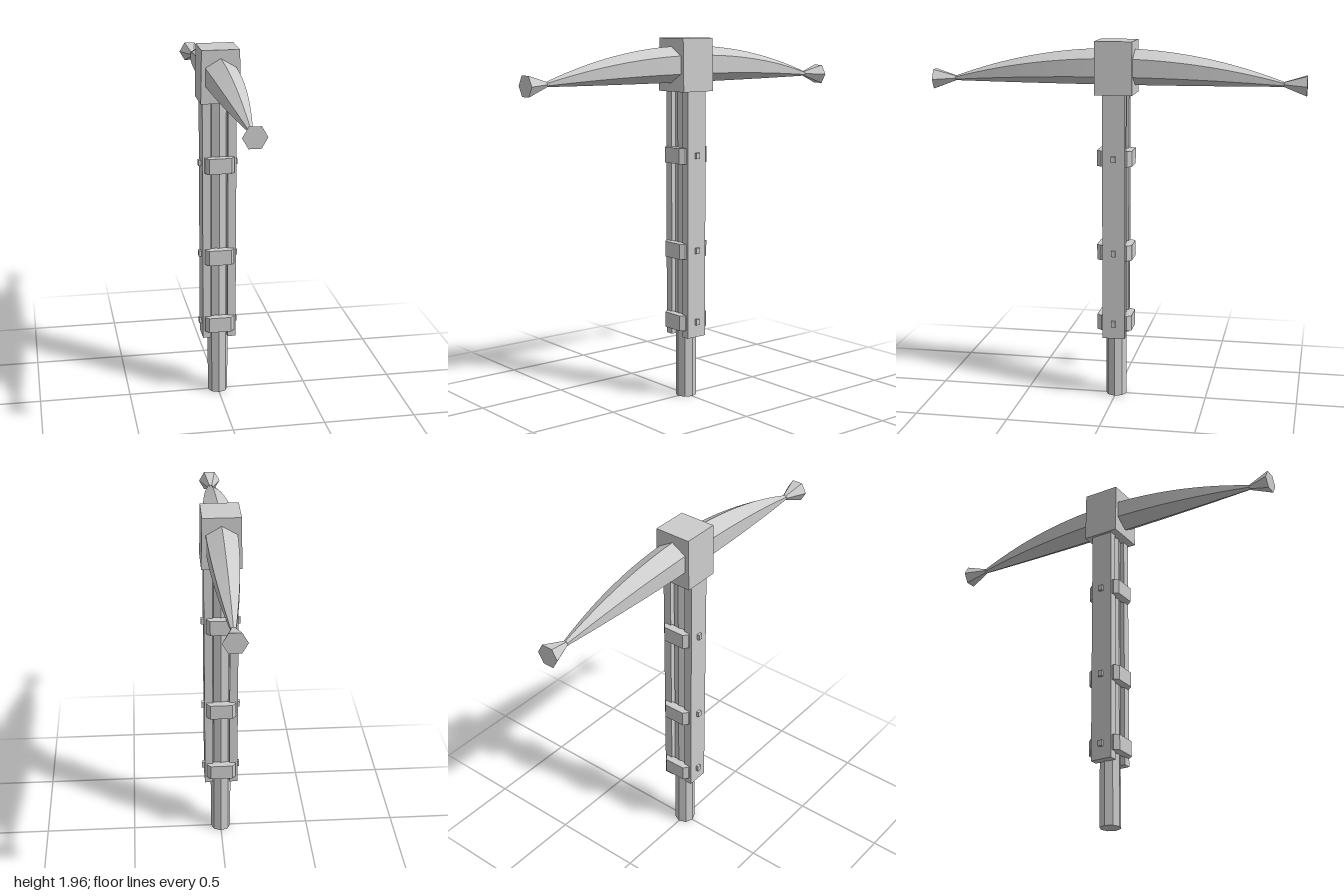
import * as THREE from 'three';

const grey = new THREE.MeshStandardMaterial({ color: 0xcccccc, flatShading: true });
grey.name = 'plain grey';

// Six-sided ring at depth z; start turns the first corner.
function ring(z, y, rx, ry, start) {
  return Array.from({ length: 6 }, (_, k) => {
    const a = start + (k * Math.PI) / 3;
    return [rx * Math.cos(a), y + ry * Math.sin(a), z];
  });
}

// Skin a list of rings running towards +z and close both ends.
function loft(rings) {
  const pos = [];
  const tri = (...p) => p.forEach((v) => pos.push(...v));
  for (let i = 0; i < rings.length - 1; i++) {
    for (let j = 0; j < 6; j++) {
      const k = (j + 1) % 6;
      const a = rings[i][j], b = rings[i][k], c = rings[i + 1][k], d = rings[i + 1][j];
      tri(a, b, c);
      tri(a, c, d);
    }
  }
  const first = rings[0], last = rings[rings.length - 1];
  for (let j = 1; j < 5; j++) {
    tri(first[0], first[j + 1], first[j]);
    tri(last[0], last[j], last[j + 1]);
  }
  const g = new THREE.BufferGeometry();
  g.setAttribute('position', new THREE.Float32BufferAttribute(pos, 3));
  g.computeVertexNormals();
  return g;
}

export function createModel() {
  const model = new THREE.Group();
  model.name = 'pickaxe';
  const add = (name, geometry, x = 0, y = 0, z = 0) => {
    const mesh = new THREE.Mesh(geometry, grey);
    mesh.name = name;
    mesh.position.set(x, y, z);
    model.add(mesh);
    return mesh;
  };

  // Octagonal shaft
  add('shaft', new THREE.CylinderGeometry(0.056, 0.056, 1.7, 8), 0, 0.85, 0);

  // Head block, slightly wider at its foot
  const block = new THREE.BoxGeometry(0.2, 0.28, 0.2);
  const p = block.attributes.position;
  for (let i = 0; i < p.count; i++) if (p.getY(i) < 0) p.setX(i, p.getX(i) * 1.05);
  block.computeVertexNormals();
  add('headBlock', block, 0, 1.82, 0);

  // Curved arms: flat underside, bowed top, tapering to a narrow neck
  const rings = [];
  for (let i = 0; i <= 16; i++) {
    const z = 0.05 + (0.84 * i) / 16;
    const t = (z / 0.89) ** 2;
    const top = 1.918 - 0.163 * t;
    const bottom = 1.726 + 0.007 * t;
    rings.push(ring(z, (top + bottom) / 2, (0.094 - 0.081 * t), (top - bottom) / 2, Math.PI / 6));
  }
  const arm = loft(rings);
  // Flared hexagonal tips
  const tip = loft([ring(0.88, 1.745, 0.014, 0.014, 0), ring(1, 1.74, 0.06, 0.06, 0)]);
  [['front', 0], ['back', Math.PI]].forEach(([side, turn]) => {
    add(side + 'Arm', arm).rotation.y = turn;
    add(side + 'Tip', tip).rotation.y = turn;
  });

  // Side plates along the shaft
  const plate = new THREE.BoxGeometry(0.045, 1.345, 0.122);
  add('leftPlate', plate, 0.0685, 1.0175, 0);
  add('rightPlate', plate, -0.0685, 1.0175, 0);

  // Chamfered bands front and back, with a bolt through each plate
  const outline = new THREE.Shape([
    [-0.08, 0.05], [0.08, 0.05], [0.08, 0.07], [0.06, 0.095], [-0.06, 0.095], [-0.08, 0.07],
  ].map(([x, y]) => new THREE.Vector2(x, y)));
  const band = new THREE.ExtrudeGeometry(outline, { depth: 0.084, bevelEnabled: false });
  band.rotateX(-Math.PI / 2);
  band.translate(0, -0.042, 0);
  const bolt = new THREE.BoxGeometry(0.03, 0.032, 0.024);
  for (const y of [0.43, 0.825, 1.34]) {
    add('backBand', band, 0, y, 0);
    add('frontBand', band, 0, y, 0).rotation.y = Math.PI;
    add('leftBolt', bolt, 0.09, y, 0);
    add('rightBolt', bolt, -0.09, y, 0);
  }
  return model;
}
